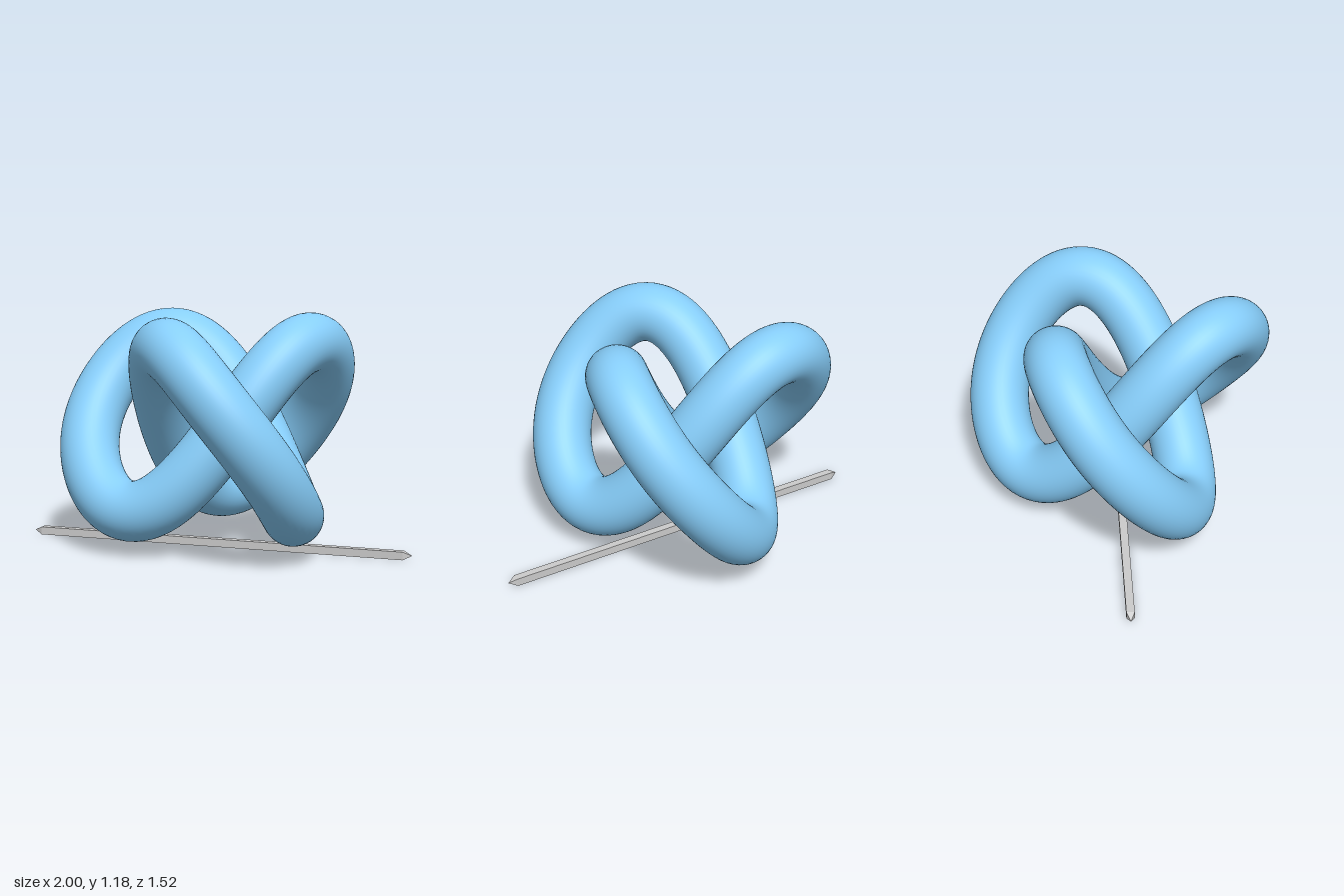
import * as THREE from 'three';

// Closed three-lobed knot winding around the y axis
class TrefoilCurve extends THREE.Curve {
  getPoint(u, target = new THREE.Vector3()) {
    const t = u * Math.PI * 2;
    const big = 0.457, small = 0.207;
    return target.set(
      -(big * Math.cos(2 * t) + small * Math.cos(t)),
      0.397 * Math.sin(3 * t) - 0.045 * Math.sin(6 * t),
      -(big * Math.sin(2 * t) - small * Math.sin(t))
    );
  }
}

export function createModel() {
  const model = new THREE.Group();

  // Smooth round tube following the knot
  const knot = new THREE.Mesh(
    new THREE.TubeGeometry(new TrefoilCurve(), 300, 0.15, 40, true),
    new THREE.MeshStandardMaterial({ color: 0x87cefa })
  );
  knot.name = 'trefoilKnot';
  knot.position.y = 0.623;
  model.add(knot);

  // Square bar with pyramid points, lying along x
  const half = 0.02, r = half * Math.SQRT2;
  const profile = [[0, -1], [r, -0.957], [r, 0.957], [0, 1]]
    .map(([x, y]) => new THREE.Vector2(x, y));
  const barGeometry = new THREE.LatheGeometry(profile, 4, Math.PI / 4);
  barGeometry.rotateZ(Math.PI / 2);
  const bar = new THREE.Mesh(
    barGeometry,
    new THREE.MeshStandardMaterial({ color: 0xcccccc, flatShading: true })
  );
  bar.name = 'axisBar';
  bar.position.y = half;
  model.add(bar);

  return model;
}
